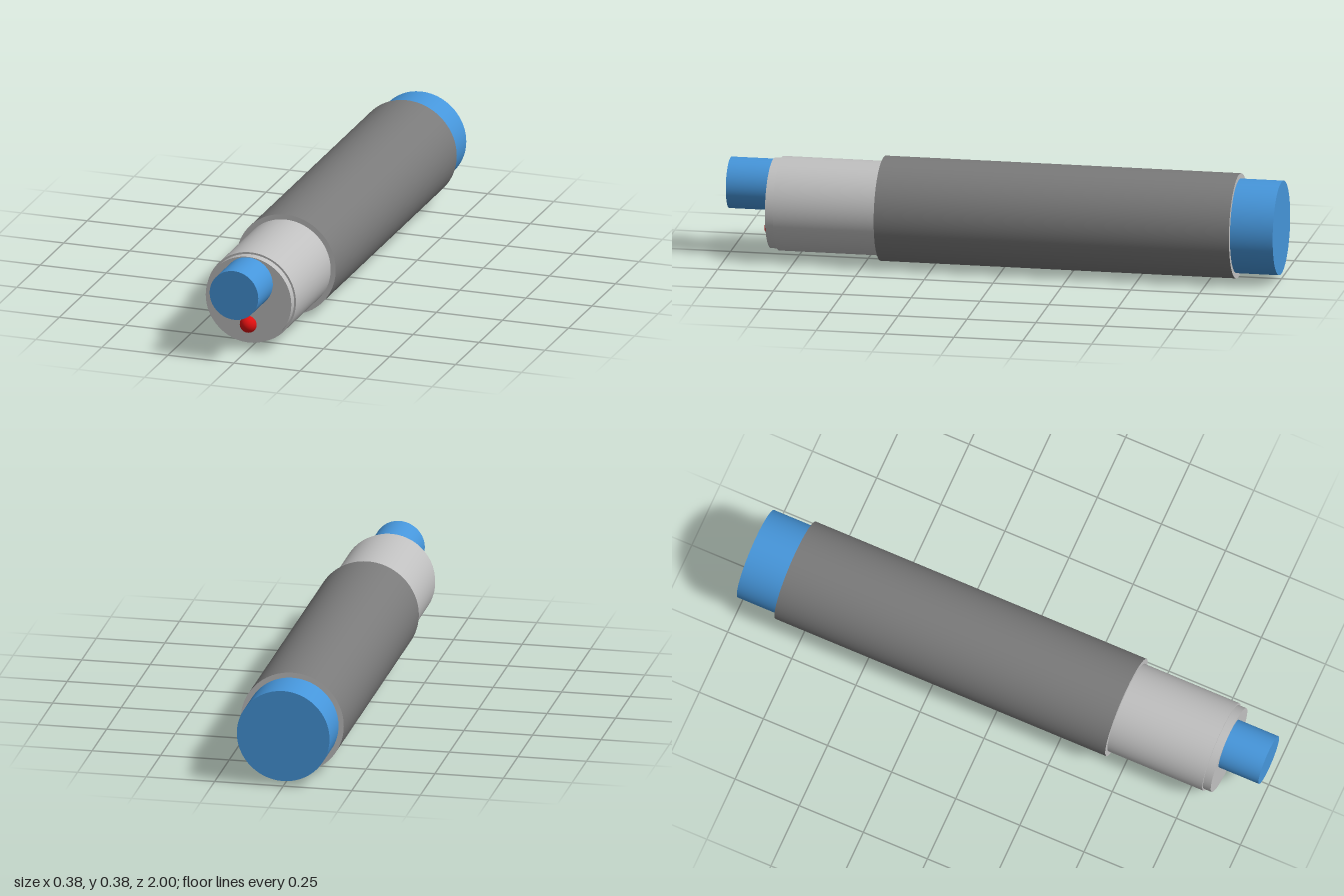
import * as THREE from 'three';

export function createModel() {
  const model = new THREE.Group();
  const paint = (name, color) => {
    const m = new THREE.MeshStandardMaterial({ color });
    m.name = name;
    return m;
  };
  const lightGrey = paint('light grey', 0xc0c0c0);
  const darkGrey = paint('dark grey', 0x7a7a7a);
  const blue = paint('blue', 0x4696db);
  const red = paint('red', 0xe01010);
  const axisY = 0.189;

  // Solid cylinder along z, from z0 (back) to z1 (front)
  function rod(name, radius, z0, z1, material, y = axisY) {
    const geometry = new THREE.CylinderGeometry(radius, radius, z1 - z0, 96);
    geometry.rotateX(Math.PI / 2);
    const mesh = new THREE.Mesh(geometry, material);
    mesh.name = name;
    mesh.position.set(0, y, (z0 + z1) / 2);
    model.add(mesh);
  }

  // Main tube: dark grip with light end faces
  rod('gripSleeve', 0.188, -0.845, 0.445, [darkGrey, lightGrey, lightGrey]);
  rod('body', 0.169, 0.445, 0.815, lightGrey);
  rod('frontCap', 0.162, 0.815, 0.845, lightGrey);

  // Blue ends
  rod('rearPlug', 0.169, -1, -0.845, blue);
  rod('frontNozzle', 0.092, 0.845, 1, blue, 0.257);

  // Red button, half sunk into the front cap
  const button = new THREE.Mesh(new THREE.SphereGeometry(0.031, 32, 24), red);
  button.name = 'button';
  button.position.set(0, 0.097, 0.846);
  model.add(button);

  return model;
}
